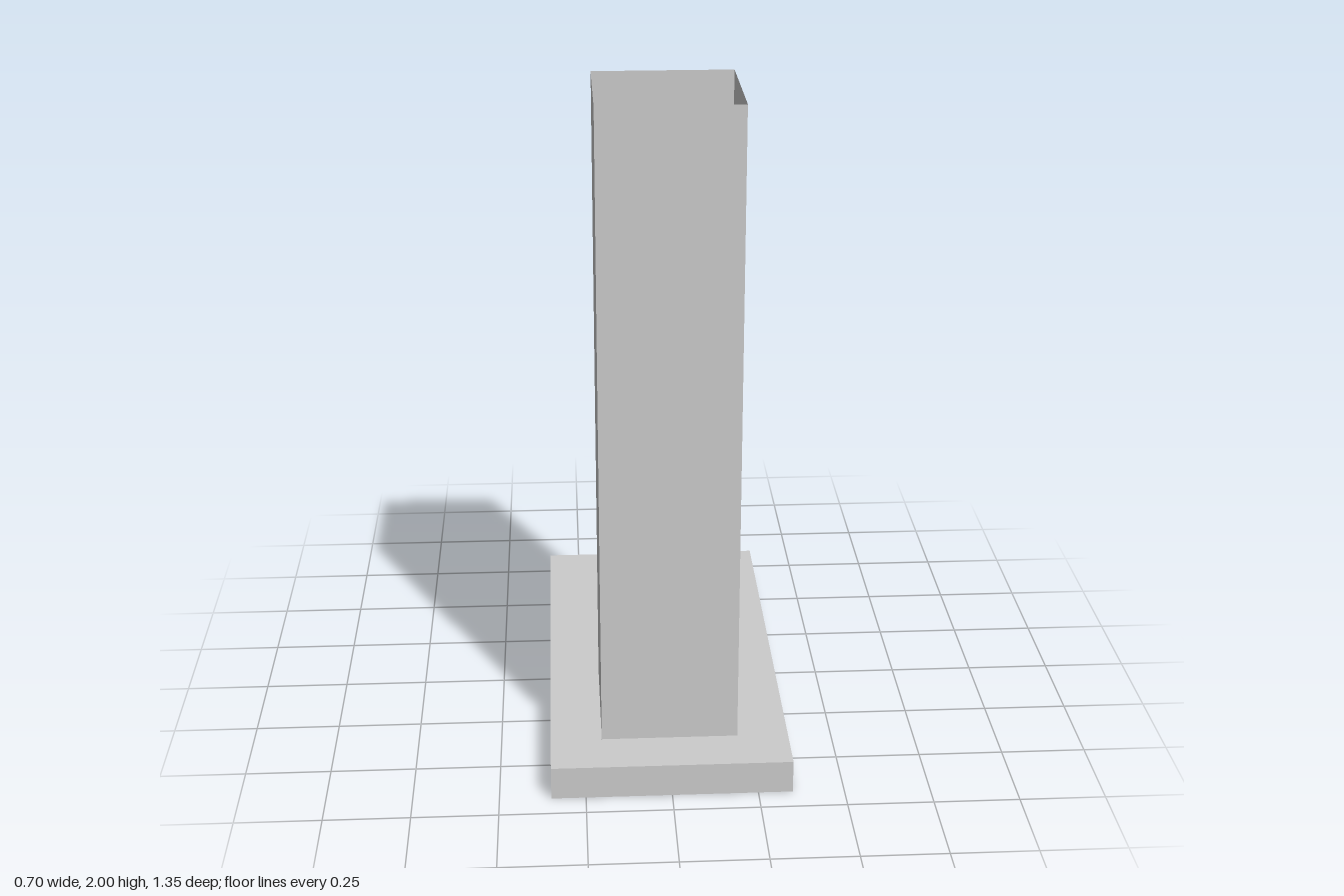
import * as THREE from 'three';

const material = new THREE.MeshStandardMaterial({ color: 0xcccccc, side: THREE.DoubleSide });

function addPart(group, name, geometry) {
  const mesh = new THREE.Mesh(geometry, material);
  mesh.name = name;
  group.add(mesh);
}

// Four thin walls around a rectangle, open at top and bottom
function wallRing(width, depth, bottom, top, z) {
  const g = new THREE.CylinderGeometry(Math.SQRT1_2, Math.SQRT1_2, 1, 4, 1, true)
    .rotateY(Math.PI / 4)
    .scale(width, top - bottom, depth)
    .translate(0, (bottom + top) / 2, z)
    .toNonIndexed();
  g.computeVertexNormals();
  return g;
}

// Corners of a rectangle centred on (0, y)
function rectangle(width, depth, y) {
  const w = width / 2, d = depth / 2;
  return [[-w, y - d], [w, y - d], [w, y + d], [-w, y + d]].map(([a, b]) => new THREE.Vector2(a, b));
}

export function createModel() {
  const group = new THREE.Group();
  const baseWidth = 0.7, baseDepth = 1.35, baseTop = 0.1;
  const shaftSide = 0.4, shaftZ = 0.325;

  // Base: a shallow tray upside down, pierced below the shaft
  const plate = new THREE.Shape(rectangle(baseWidth, baseDepth, 0));
  plate.holes.push(new THREE.Path(rectangle(shaftSide, shaftSide, -shaftZ).reverse()));
  addPart(group, 'basePlate', new THREE.ShapeGeometry(plate).rotateX(-Math.PI / 2).translate(0, baseTop, 0));
  addPart(group, 'baseSides', wallRing(baseWidth, baseDepth, 0, baseTop, 0));

  // Hollow square shaft, open at both ends
  addPart(group, 'shaft', wallRing(shaftSide, shaftSide, baseTop, 2, shaftZ));

  return group;
}
